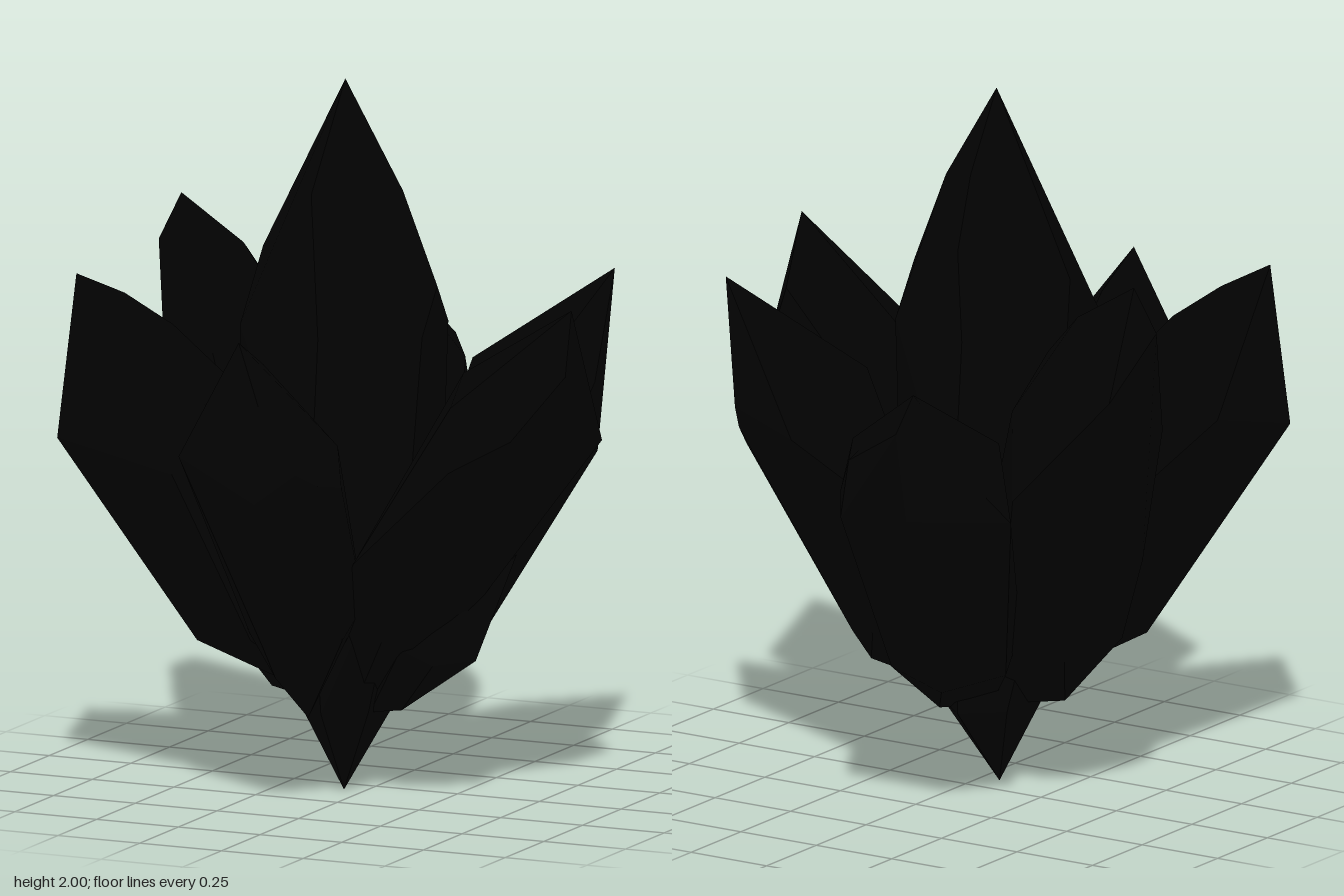
import * as THREE from 'three';
import { ConvexGeometry } from 'three/addons/geometries/ConvexGeometry.js';

const V = (p) => new THREE.Vector3(p[0], p[1], p[2]);

// A faceted crystal: the hull of a foot point, hexagonal rings square to the
// axis, a tip and a few chipped corners. Ring: [x, y, z, outward, sideways].
function crystalGeometry({ foot, rings, tip, chips = [], axis }) {
  const dir = axis ? V(axis) : V(rings[rings.length - 1]).sub(V(rings[0])).normalize();
  const side = axis
    ? new THREE.Vector3(1, 0, 0)
    : new THREE.Vector3(0, 1, 0).cross(dir).normalize();
  const out = side.clone().cross(dir).normalize();
  const points = [V(foot), V(tip), ...chips.map(V)];
  rings.forEach((ring, r) => {
    for (let i = 0; i < 6; i++) {
      const a = (i * Math.PI) / 3 + r * 0.06;
      points.push(
        V(ring)
          .addScaledVector(out, Math.cos(a) * ring[3])
          .addScaledVector(side, Math.sin(a) * ring[4])
      );
    }
  });
  return new ConvexGeometry(points);
}

const FOOT = [-0.04, 0.22, 0.07];

const CRYSTALS = {
  // Upright central crystal, pointed at both ends
  centreCrystal: {
    foot: [-0.06, 0, 0.08], tip: [-0.07, 2, 0.05], axis: [0, 1, 0],
    rings: [
      [-0.06, 0.24, 0.05, 0.18, 0.12],
      [-0.06, 0.8, 0.08, 0.26, 0.28],
      [-0.055, 1.32, 0.09, 0.25, 0.31],
    ],
    chips: [
      [-0.34, 1.5, 0.01], [0.235, 1.45, 0.1], [-0.06, 1.57, -0.13],
      [0.13, 1.71, 0.1], [-0.2, 1.73, 0], [-0.094, 1.7, 0.22], [-0.05, 1.77, -0.05],
    ],
  },
  // Six crystals leaning outward around it
  backCrystal: {
    foot: FOOT, tip: [-0.295, 1.33, -0.71],
    rings: [[-0.1, 0.45, -0.2, 0.17, 0.19], [-0.21, 1.07, -0.55, 0.21, 0.24]],
    chips: [
      [-0.28, 1.23, -0.775], [-0.12, 1.13, -0.77], [-0.09, 0.96, -0.765], [-0.36, 1.08, -0.66],
      [-0.48, 0.94, -0.5], [0.02, 0.98, -0.58], [0.09, 0.85, -0.36], [-0.36, 0.85, -0.34],
      [0, 0.25, -0.13],
    ],
  },
  backLeftCrystal: {
    foot: FOOT, tip: [0.57, 1.45, -0.34],
    rings: [[0.15, 0.5, -0.11, 0.14, 0.16], [0.39, 1.1, -0.25, 0.18, 0.18]],
    chips: [
      [0.2, 0.37, -0.17], [0.56, 0.95, -0.25], [0.57, 1.15, -0.21], [0.5, 1.1, -0.4],
      [0.28, 1.05, -0.45], [0.1, 0.9, -0.36], [0.33, 0.95, -0.06], [0.4, 1.31, -0.26],
      [0.22, 1.2, -0.16],
    ],
  },
  leftCrystal: {
    foot: FOOT, tip: [0.74, 1.46, 0.3],
    rings: [[0.13, 0.52, 0.12, 0.17, 0.2], [0.52, 1.12, 0.21, 0.2, 0.21]],
    chips: [
      [0.72, 1.05, 0.06], [0.74, 1.28, 0.34], [0.61, 1.1, 0.42], [0.43, 1, 0.44],
      [0.32, 0.9, 0.4], [0.1, 0.7, 0.36], [0.34, 0.9, -0.05], [0.64, 1.31, 0.07],
    ],
  },
  frontCrystal: {
    foot: [-0.05, 0.38, 0.16], tip: [-0.07, 1.38, 0.74],
    rings: [[-0.07, 0.52, 0.3, 0.17, 0.16], [-0.06, 1, 0.53, 0.19, 0.18]],
    chips: [
      [-0.24, 1.05, 0.77], [-0.02, 1.2, 0.72], [0.14, 0.95, 0.52], [0.06, 1, 0.65],
      [0.09, 0.8, 0.4], [-0.26, 0.8, 0.47], [-0.07, 1.29, 0.58], [-0.07, 0.24, 0.29],
      [-0.09, 0.38, 0.46], [-0.09, 0.48, 0.54], [-0.12, 0.77, 0.67],
    ],
  },
  frontRightCrystal: {
    foot: FOOT, tip: [-0.68, 1.48, 0.5],
    rings: [[-0.22, 0.5, 0.2, 0.17, 0.18], [-0.48, 1.08, 0.35, 0.2, 0.21]],
    chips: [
      [-0.72, 1.02, 0.54], [-0.69, 1.1, 0.22], [-0.36, 0.95, 0.56], [-0.5, 0.98, 0.56],
      [-0.41, 0.43, 0.29], [-0.52, 0.9, 0.07], [-0.28, 0.8, 0.48], [-0.45, 1.33, 0.36],
      [-0.57, 1.42, 0.42],
    ],
  },
  rightCrystal: {
    foot: FOOT, tip: [-0.69, 1.58, -0.2],
    rings: [[-0.24, 0.5, -0.01, 0.18, 0.18], [-0.48, 1.15, -0.14, 0.19, 0.2]],
    chips: [
      [-0.745, 1.45, -0.17], [-0.7, 1.28, -0.34], [-0.62, 1.1, 0.05], [-0.49, 1.46, -0.18],
      [-0.34, 1.32, -0.1], [-0.38, 0.95, -0.34], [-0.37, 0.85, 0.1], [-0.48, 0.48, 0.06],
      [-0.6, 0.74, -0.02], [-0.29, 0.27, 0.06],
    ],
  },
  // Short shard low on the left
  lowerShard: {
    foot: [0.03, 0.23, 0.1], tip: [0.45, 0.7, 0.04],
    rings: [[0.2, 0.42, 0.11, 0.1, 0.13], [0.28, 0.6, 0.09, 0.1, 0.13]],
    chips: [[0.37, 0.41, 0.137], [0.14, 0.25, 0.13]],
  },
};

export function createModel() {
  const group = new THREE.Group();
  group.name = 'crystalCluster';
  const black = new THREE.MeshStandardMaterial({ color: 0x020202 });
  black.name = 'black crystal';
  for (const [name, spec] of Object.entries(CRYSTALS)) {
    const mesh = new THREE.Mesh(crystalGeometry(spec), black);
    mesh.name = name;
    group.add(mesh);
  }
  return group;
}
